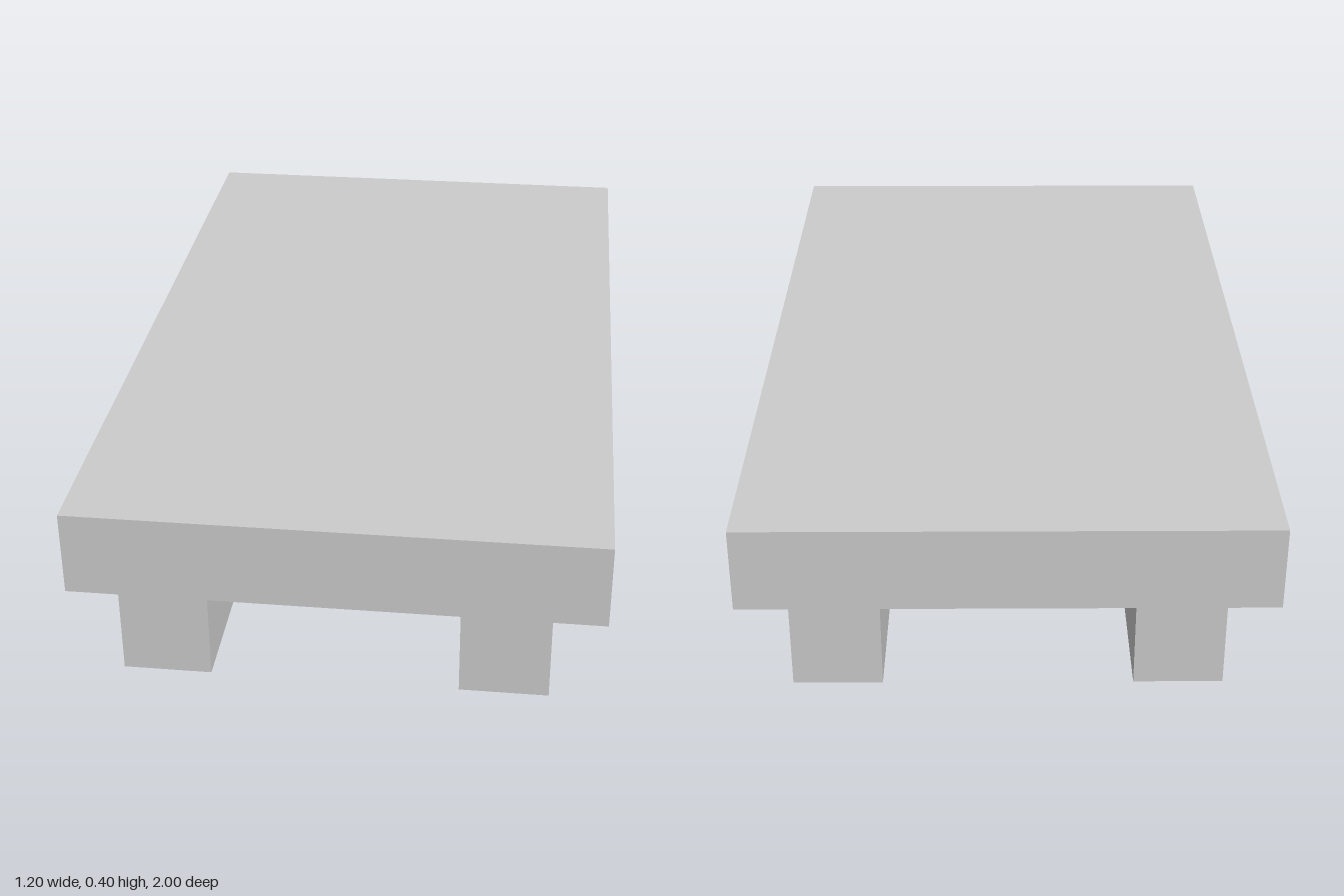
import * as THREE from 'three';

export function createModel() {
  const group = new THREE.Group();
  group.name = 'doubleTeeSlab';

  const length = 2;
  const top = 0.4, underside = 0.2;
  const deckHalf = 0.6, ribOuter = 0.48, ribInner = 0.28;

  // Right half of the cross-section, from the inner rib corner out to the deck top
  const half = [
    [ribInner, underside], [ribInner, 0], [ribOuter, 0],
    [ribOuter, underside], [deckHalf, underside], [deckHalf, top],
  ];
  // Mirror it to close the outline
  const mirrored = half.map(([x, y]) => [-x, y]).reverse();
  const profile = new THREE.Shape([...half, ...mirrored].map(([x, y]) => new THREE.Vector2(x, y)));

  // Deck and two ribs as one solid running front to back
  const geometry = new THREE.ExtrudeGeometry(profile, { depth: length, bevelEnabled: false });
  geometry.translate(0, 0, -length / 2);

  const slab = new THREE.Mesh(
    geometry,
    new THREE.MeshStandardMaterial({ color: 0xcccccc, flatShading: true })
  );
  slab.name = 'deckWithRibs';
  group.add(slab);
  return group;
}
